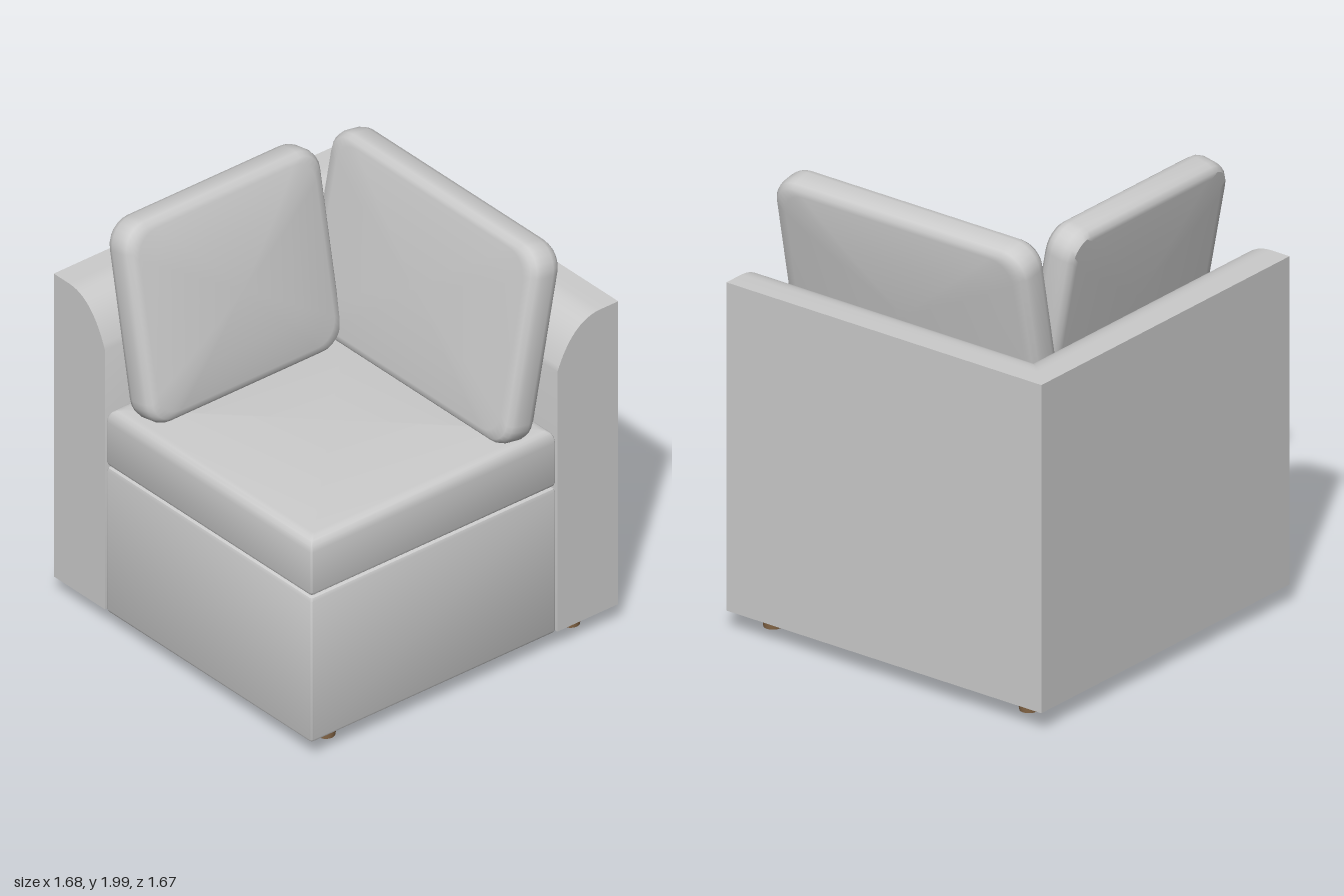
import * as THREE from 'three';
import { toCreasedNormals } from 'three/addons/utils/BufferGeometryUtils.js';

const fabric = new THREE.MeshStandardMaterial({ color: 0xcccccc });
const wood = new THREE.MeshStandardMaterial({ color: 0x8b6b4a });

// Outline of a rounded rectangle, counter-clockwise
function outline(hw, hh, r, n = 6) {
  const pts = [];
  for (let c = 0; c < 4; c++) {
    const sx = c === 0 || c === 3 ? 1 : -1, sy = c < 2 ? 1 : -1;
    for (let i = 0; i <= n; i++) {
      const a = (c + i / n) * Math.PI / 2;
      pts.push([sx * (hw - r) + r * Math.cos(a), sy * (hh - r) + r * Math.sin(a)]);
    }
  }
  return pts;
}

// Skin rounded rectangles stacked along z: [z, halfWidth, halfHeight, radius]
function loft(sections, crease) {
  const pos = [], idx = [];
  sections.forEach(([z, hw, hh, r]) => outline(hw, hh, r).forEach(([x, y]) => pos.push(x, y, z)));
  const n = pos.length / 3 / sections.length;
  for (let i = 0; i < sections.length - 1; i++) {
    for (let j = 0; j < n; j++) {
      const a = i * n + j, b = i * n + (j + 1) % n;
      idx.push(a, b, b + n, a, b + n, a + n);
    }
  }
  const g = new THREE.BufferGeometry();
  g.setAttribute('position', new THREE.Float32BufferAttribute(pos, 3));
  g.setIndex(idx);
  return toCreasedNormals(g, crease);
}

// Upholstered block standing on y; profile lists [y, inset]
function block(name, half, profile) {
  const ring = ([y, inset]) => [y, half - inset, half - inset, 0.012];
  const first = profile[0][0], last = profile[profile.length - 1][0];
  const g = loft([[first, 0, 0, 0], ...profile.map(ring), [last, 0, 0, 0]], 0.6);
  g.rotateX(-Math.PI / 2);
  const m = new THREE.Mesh(g, fabric);
  m.name = name;
  m.position.set(0.168, 0, 0.163);
  return m;
}

// Soft cushion with a domed face on each side
function cushion(name, w, h, bulgeBack, bulgeFront) {
  const T = 0.075;
  const half = [[1, 0], [0.93, 0.3], [0.72, 0.55], [0.42, 0.76], [0.12, 0.9]];
  const at = (z, s) => [z, w / 2 * s, h / 2 * s, 0.12 * s];
  const edge = (z, inset) => [z, w / 2 - inset, h / 2 - inset, 0.12 - inset];
  const sections = [
    ...half.map(([k, s]) => at(-T - k * bulgeBack, s)),
    edge(-T, 0.025), edge(-T + 0.02, 0.007), edge(-T + 0.045, 0),
    edge(T - 0.045, 0), edge(T - 0.02, 0.007), edge(T, 0.025),
    ...half.map(([k, s]) => at(T + k * bulgeFront, s)).reverse(),
  ];
  const m = new THREE.Mesh(loft(sections, 0.8), fabric);
  m.name = name;
  return m;
}

// Arm and back as one mitred L, the profile measured inward from the outer face
function surround() {
  const s = new THREE.Shape();
  s.moveTo(0, 0.09);
  s.lineTo(0.332, 0.09);
  s.lineTo(0.332, 1.38);
  s.bezierCurveTo(0.29, 1.49, 0.22, 1.595, 0.1, 1.595);
  s.lineTo(0, 1.595);
  const g = new THREE.ExtrudeGeometry(s, { depth: 2, steps: 2, bevelEnabled: false, curveSegments: 14 });
  const p = g.attributes.position;
  for (let i = 0; i < p.count; i++) {
    const d = p.getX(i), station = Math.round(p.getZ(i));
    const x = station === 0 ? 0.84 : -0.84 + d;
    const z = station === 2 ? 0.83 : -0.84 + d;
    p.setXYZ(i, x, p.getY(i), z);
  }
  const m = new THREE.Mesh(toCreasedNormals(g, 0.5), fabric);
  m.name = 'armAndBack';
  return m;
}

export function createModel() {
  const group = new THREE.Group();
  group.add(surround());

  // Seat base and seat cushion, split by a narrow groove
  group.add(block('seatBase', 0.668, [[0.09, 0.004], [0.1, 0], [0.785, 0], [0.8, 0.005], [0.808, 0.018]]));
  group.add(block('seatCushion', 0.668,
    [[0.806, 0.018], [0.818, 0.004], [0.83, 0], [1.03, 0], [1.055, 0.004], [1.075, 0.014], [1.086, 0.03], [1.09, 0.05]]));

  // Loose cushions leaning on the back and on the arm
  const back = cushion('backCushion', 1.345, 0.935, 0.035, 0.02);
  back.position.set(0.167, 1.53, -0.39);
  back.rotation.x = -0.19;
  group.add(back);

  const side = cushion('sideCushion', 1.07, 0.935, 0.012, 0.045);
  side.rotation.x = -0.19;
  const sideHolder = new THREE.Group();
  sideHolder.name = 'sideCushionHolder';
  sideHolder.rotation.y = Math.PI / 2;
  sideHolder.position.set(-0.4, 1.53, 0.265);
  sideHolder.add(side);
  group.add(sideHolder);

  // Tapered wooden feet
  const footGeometry = new THREE.CylinderGeometry(0.055, 0.04, 0.092, 20);
  for (const x of [-0.65, 0.715]) {
    for (const z of [-0.685, 0.65]) {
      const foot = new THREE.Mesh(footGeometry, wood);
      foot.name = 'foot';
      foot.position.set(x, 0.046, z);
      group.add(foot);
    }
  }
  return group;
}
